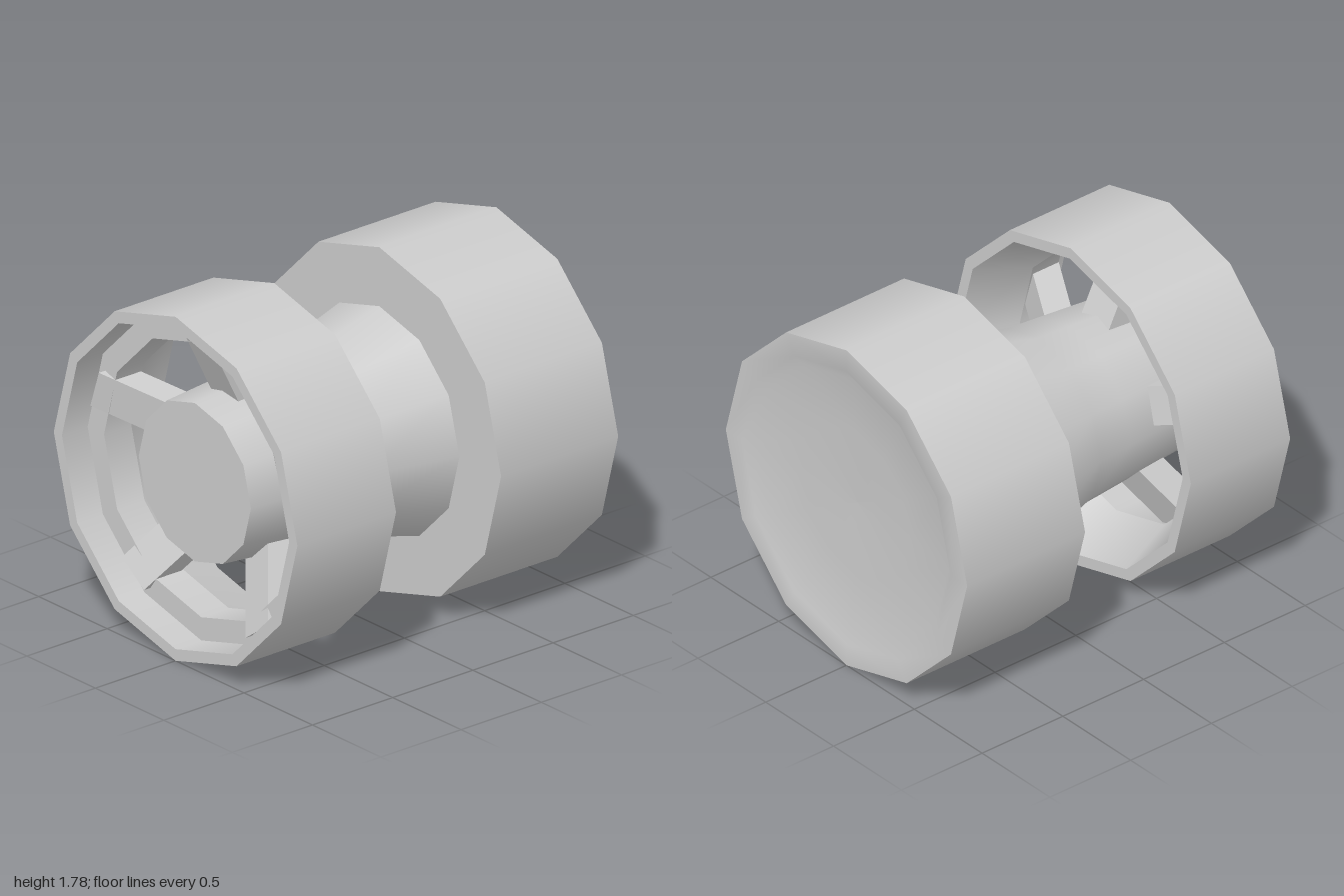
import * as THREE from 'three';
import { mergeGeometries } from 'three/addons/utils/BufferGeometryUtils.js';

const SIDES = 12;
const RADIUS = 0.89;

export function createModel() {
  const model = new THREE.Group();
  const grey = new THREE.MeshStandardMaterial({ color: 0xcccccc });

  // Everything turns around one axis along x, lifted so it rests on the ground
  const assembly = new THREE.Group();
  assembly.name = 'ductedRotor';
  assembly.position.y = RADIUS;
  model.add(assembly);

  // Turns runs of [radius, x] points around the x axis; each run is smooth, edges between runs stay sharp
  function turned(name, ...runs) {
    const lathes = runs.map((run) =>
      new THREE.LatheGeometry(run.map(([r, x]) => new THREE.Vector2(r, x)), SIDES));
    const mesh = new THREE.Mesh(mergeGeometries(lathes).rotateZ(-Math.PI / 2), grey);
    mesh.name = name;
    assembly.add(mesh);
  }

  // Flaring hub with a flat end
  turned('hub',
    [[0, -0.88], [0.41, -0.88]],
    [[0.41, -0.88], [0.45, -0.385], [0.465, -0.19], [0.585, 0.27]]);

  // Drum with a broad flat rim around a shallow dish
  turned('drum',
    [[0.5, 0.27], [RADIUS, 0.27]],
    [[RADIUS, 0.27], [RADIUS, 1]],
    [[RADIUS, 1], [0.77, 1], [0.71, 0.96], [0.4, 0.94], [0, 0.93]]);

  // Open ring: tapered mouth on the inner side, stepped recess on the outer end
  const ring = [
    [0.83, -1], [RADIUS, -1], [RADIUS, -0.385], [0.83, -0.385],
    [0.71, -0.67], [0.71, -0.84], [0.83, -0.84], [0.83, -1],
  ];
  turned('ring', ...ring.slice(1).map((point, i) => [ring[i], point]));

  // Five stout vanes join the hub to the ring, leaning back towards the ring
  const vaneGeometry = new THREE.BoxGeometry(0.16, 0.4, 0.2);
  const corners = vaneGeometry.attributes.position;
  for (let i = 0; i < corners.count; i++) {
    corners.setX(i, corners.getX(i) - 0.5 * corners.getY(i));
  }
  vaneGeometry.translate(-0.7, 0.57, 0);
  vaneGeometry.computeVertexNormals();
  for (let i = 0; i < 5; i++) {
    const vane = new THREE.Mesh(vaneGeometry, grey);
    vane.name = 'vane' + (i + 1);
    vane.rotation.x = (i * Math.PI * 2) / 5;
    assembly.add(vane);
  }

  return model;
}
